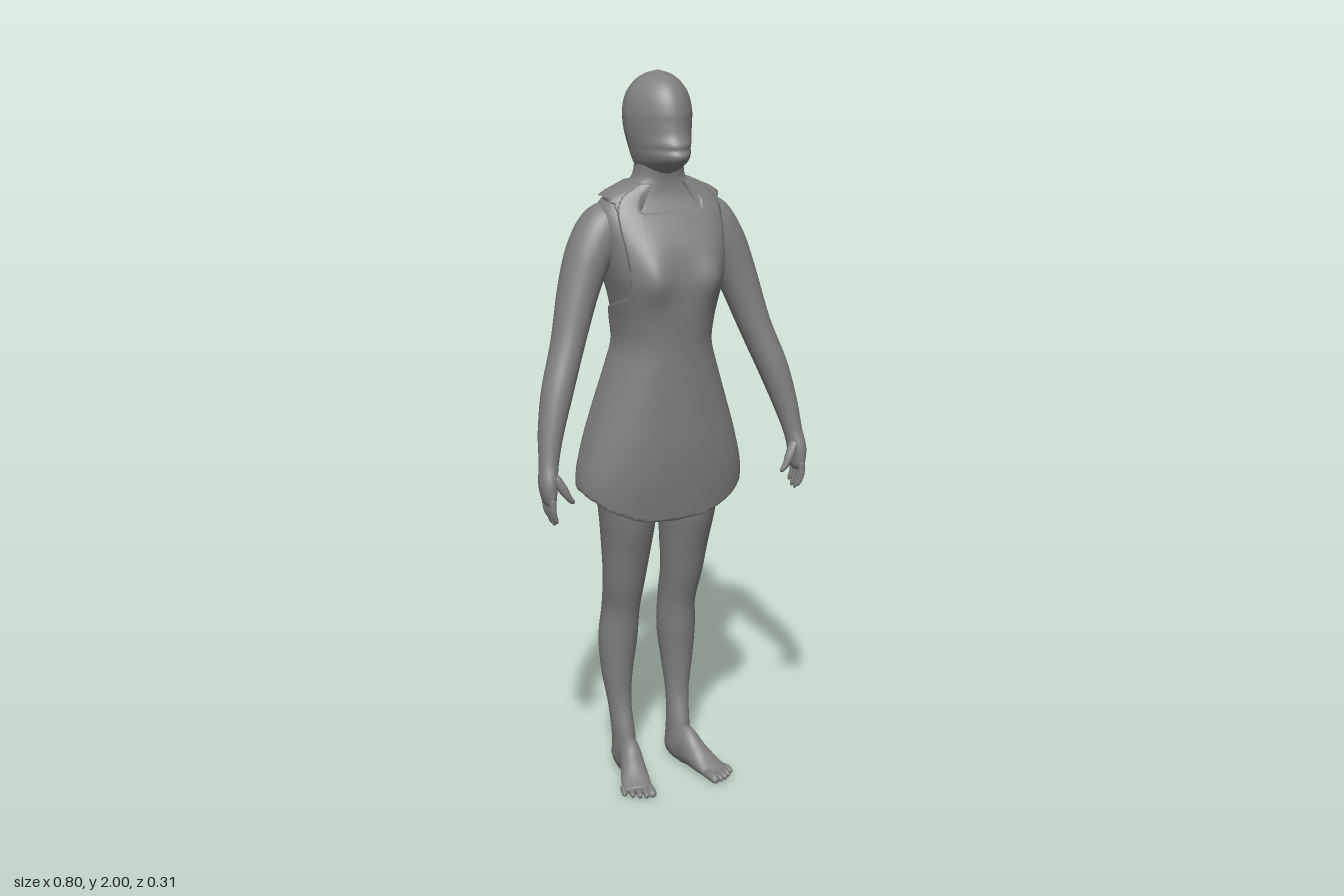
import * as THREE from 'three';
import { mergeVertices } from 'three/addons/utils/BufferGeometryUtils.js';

const material = new THREE.MeshStandardMaterial({ color: 0x808080 });
const clothMaterial = new THREE.MeshStandardMaterial({ color: 0x808080, side: THREE.DoubleSide });

// Smooth interpolation of rows whose first entry is the ascending key
function sample(rows, k) {
  let i = 0;
  while (i < rows.length - 2 && k > rows[i + 1][0]) i++;
  const a = rows[i], b = rows[i + 1], p = rows[i - 1] || a, n = rows[i + 2] || b;
  const h = b[0] - a[0], t = Math.min(1, Math.max(0, (k - a[0]) / h)), t2 = t * t, t3 = t2 * t;
  return a.map((v, c) => {
    const ma = (b[c] - p[c]) / (b[0] - p[0]), mb = (n[c] - v) / (n[0] - a[0]);
    return v * (2 * t3 - 3 * t2 + 1) + b[c] * (3 * t2 - 2 * t3) + h * (ma * (t3 - 2 * t2 + t) + mb * (t3 - t2));
  });
}

// Smooth skin over a grid of points
function skin(name, nu, nv, point, mat = material) {
  const pos = [], index = [];
  for (let j = 0; j <= nv; j++) for (let i = 0; i <= nu; i++) pos.push(...point(i, j));
  for (let j = 0; j < nv; j++) for (let i = 0; i < nu; i++) {
    const a = j * (nu + 1) + i, d = a + nu + 1;
    index.push(a, a + 1, d + 1, a, d + 1, d);
  }
  let g = new THREE.BufferGeometry();
  g.setAttribute('position', new THREE.Float32BufferAttribute(pos, 3));
  g.setIndex(index);
  g = mergeVertices(g, 1e-5);
  g.computeVertexNormals();
  const mesh = new THREE.Mesh(g, mat);
  mesh.name = name;
  return mesh;
}

// Rounded limb through points [x, y, z, radius across, radius along ref]
function limb(name, pts, { side = 1, ref = [0, 0, 1], nu = 28, nv = 48, round = 0.08 } = {}) {
  const rows = pts.map(([x, ...rest], i) => [i, x * side, ...rest]);
  const last = rows.length - 1, r = new THREE.Vector3(...ref);
  const rings = [];
  for (let j = 0; j <= nv; j++) {
    const t = (1 - Math.cos(Math.PI * j / nv)) / 2;
    const s = sample(rows, t * last), p = sample(rows, t * last - 0.05), q = sample(rows, t * last + 0.05);
    const dir = new THREE.Vector3(q[1] - p[1], q[2] - p[2], q[3] - p[3]).normalize();
    const u = dir.clone().cross(r).normalize(), v = dir.clone().cross(u);
    const e = Math.max(0, 1 - Math.min(t, 1 - t) / round);
    rings.push({ c: new THREE.Vector3(s[1], s[2], s[3]), u, v, a: s[4], b: s[5], f: Math.sqrt(1 - e * e) });
  }
  return skin(name, nu, nv, (i, j) => {
    const { c, u, v, a, b, f } = rings[j], w = 2 * Math.PI * (i % nu) / nu;
    const p = c.clone().addScaledVector(u, Math.cos(w) * a * f).addScaledVector(v, Math.sin(w) * b * f);
    return [p.x, Math.max(0, p.y), p.z];
  });
}

const power = (v, p) => Math.sign(v) * Math.abs(v) ** p;
const bump = (v, w) => Math.exp(-((v / w) ** 2));
const mid = -0.02;

// Point on the head; angle 0 is the front, the face narrows forward
function headPoint(angle, y) {
  const [, w, f, b] = sample(headRows, y), c = Math.cos(angle);
  return [w * Math.sin(angle) * (1 - 0.22 * Math.max(0, c)), y, mid + (c > 0 ? f - mid : mid - b) * c];
}

// Point on the body or the cloth over it, rows [y, half width, front z, back z]
function bodyPoint(rows, angle, y, grow = 0) {
  const [, w, f, b] = sample(rows, y), c = Math.cos(angle);
  const p = 0.85 - 0.13 * bump(y - 1.48, 0.12);
  const x = (w + grow) * power(Math.sin(angle), p);
  let z = mid + (c > 0 ? f + grow - mid : mid - b + grow) * power(c, p);
  const front = Math.max(0, c) ** 0.5, back = Math.max(0, -c) ** 0.5;
  z += front * 0.022 * bump(Math.abs(x) - 0.085, 0.045) * bump(y - 1.47, 0.065);
  z += back * (0.03 * bump(x, 0.028) * bump(y - 0.97, 0.09) + 0.012 * bump(x, 0.04) * bump(y - 1.5, 0.14));
  return [x, y, z];
}

const torsoRows = [
  [0.86, 0.003, -0.015, -0.025], [0.88, 0.07, 0.02, -0.07], [0.92, 0.13, 0.05, -0.1], [0.97, 0.17, 0.075, -0.135],
  [1.04, 0.186, 0.09, -0.155], [1.1, 0.181, 0.09, -0.146], [1.2, 0.15, 0.085, -0.106], [1.29, 0.127, 0.088, -0.077],
  [1.4, 0.14, 0.115, -0.09], [1.47, 0.155, 0.13, -0.112], [1.55, 0.168, 0.117, -0.121], [1.62, 0.178, 0.08, -0.12],
  [1.66, 0.166, 0.052, -0.108], [1.685, 0.138, 0.042, -0.094], [1.702, 0.1, 0.04, -0.083], [1.72, 0.075, 0.04, -0.071],
  [1.75, 0.066, 0.045, -0.062], [1.79, 0.066, 0.045, -0.064], [1.83, 0.065, 0.04, -0.06]];
const headRows = [
  [1.73, 0.003, 0.02, -0.03], [1.742, 0.05, 0.06, -0.045], [1.76, 0.067, 0.095, -0.062], [1.777, 0.074, 0.118, -0.074],
  [1.792, 0.078, 0.123, -0.083], [1.804, 0.081, 0.115, -0.09], [1.817, 0.084, 0.116, -0.097], [1.84, 0.089, 0.103, -0.106],
  [1.87, 0.093, 0.097, -0.114], [1.9, 0.093, 0.094, -0.117], [1.94, 0.083, 0.08, -0.108], [1.97, 0.062, 0.056, -0.087],
  [1.99, 0.034, 0.022, -0.057], [2, 0.001, -0.019, -0.021]];
const apronRows = [
  [0.77, 0.235, 0.086, -0.1], [0.9, 0.243, 0.107, -0.13], [1, 0.222, 0.117, -0.15], [1.1, 0.192, 0.121, -0.14],
  [1.2, 0.16, 0.125, -0.114], [1.28, 0.137, 0.129, -0.086], [1.35, 0.141, 0.136, -0.088], [1.4, 0.15, 0.14, -0.099],
  [1.47, 0.164, 0.142, -0.12], [1.55, 0.177, 0.127, -0.129], [1.62, 0.187, 0.09, -0.128], [1.66, 0.181, 0.064, -0.117],
  [1.685, 0.157, 0.053, -0.105], [1.702, 0.12, 0.05, -0.094], [1.72, 0.086, 0.049, -0.081], [1.75, 0.075, 0.05, -0.07]];

function upright(name, y0, y1, point) {
  const nu = 64, nv = 90;
  return skin(name, nu, nv, (i, j) =>
    point(2 * Math.PI * (i % nu) / nu, y0 + (y1 - y0) * (1 - Math.cos(Math.PI * j / nv)) / 2));
}

// Cloth panel, keys [degrees from the front, top y, bottom y], mirrored, with turned-in edges
function cloth(name, keys) {
  const half = [], step = 0.01;
  keys.slice(1).forEach((b, k) => {
    const a = keys[k], n = Math.ceil((b[0] - a[0]) / 3);
    for (let i = 0; i < n; i++) half.push(a.map((v, c) => v + (b[c] - v) * i / n));
  });
  half.push(keys[keys.length - 1]);
  const mirrored = half.map(([d, t, b]) => [-d, t, b]).reverse();
  const cols = keys[0][0] === 0 ? [...mirrored.slice(0, -1), ...half]
    : [...half, ...mirrored.slice(1).map(([d, t, b]) => [d + 360, t, b])];
  const low = Math.min(...keys.map(k => k[2])) - 2 * step, high = Math.max(...keys.map(k => k[1])) + 2 * step;
  return skin(name, cols.length - 1, Math.ceil((high - low) / step), (i, j) => {
    const [deg, top, bottom] = cols[i], level = low + j * step;
    const inside = level < top + step && level > bottom - step;
    return bodyPoint(apronRows, deg * Math.PI / 180, Math.min(top, Math.max(bottom, level)), inside ? 0 : -0.014);
  }, clothMaterial);
}

function buildArm(side) {
  const g = new THREE.Group();
  g.name = side > 0 ? 'leftArm' : 'rightArm';
  g.add(limb('arm', [
    [0.09, 1.615, -0.035, 0.035, 0.05], [0.15, 1.602, -0.033, 0.06, 0.064], [0.195, 1.535, -0.028, 0.063, 0.068],
    [0.235, 1.44, -0.016, 0.055, 0.061], [0.28, 1.3, 0.01, 0.045, 0.05], [0.324, 1.18, 0.038, 0.042, 0.046],
    [0.353, 1.08, 0.06, 0.034, 0.038], [0.369, 1, 0.08, 0.026, 0.029], [0.377, 0.945, 0.092, 0.024, 0.034],
    [0.375, 0.885, 0.096, 0.013, 0.032]], { side, round: 0.04, nv: 64 }));
  [0.071, 0.087, 0.104, 0.12].forEach((z, i) => {
    const tip = [0.85, 0.837, 0.835, 0.845][i];
    g.add(limb('finger', [[0.376, 0.92, z, 0.01, 0.009], [0.376, 0.88, z + 0.002, 0.009, 0.008], [0.364, tip, z, 0.006, 0.006]],
      { side, nu: 10, nv: 14, round: 0.15 }));
  });
  g.add(limb('thumb', [[0.367, 0.975, 0.1, 0.014, 0.016], [0.343, 0.935, 0.112, 0.013, 0.013], [0.328, 0.91, 0.116, 0.009, 0.009],
    [0.313, 0.893, 0.115, 0.006, 0.006]], { side, nu: 12, nv: 16, round: 0.12 }));
  return g;
}

function buildLeg(side) {
  const g = new THREE.Group();
  g.name = side > 0 ? 'leftLeg' : 'rightLeg';
  g.add(limb('leg', [
    [0.09, 1.12, -0.035, 0.06, 0.07], [0.094, 1.02, -0.035, 0.088, 0.114], [0.095, 0.9, -0.025, 0.086, 0.107],
    [0.092, 0.8, -0.025, 0.078, 0.095], [0.09, 0.7, -0.038, 0.069, 0.078], [0.09, 0.6, -0.052, 0.06, 0.063],
    [0.088, 0.5, -0.08, 0.053, 0.06], [0.092, 0.4, -0.092, 0.055, 0.058], [0.095, 0.3, -0.093, 0.045, 0.048],
    [0.092, 0.2, -0.083, 0.033, 0.037], [0.087, 0.1, -0.068, 0.031, 0.046], [0.085, 0.02, -0.073, 0.033, 0.047]],
  { side, nv: 72, round: 0.025 }));
  g.add(limb('foot', [
    [0.084, 0.03, -0.112, 0.022, 0.03], [0.086, 0.04, -0.06, 0.033, 0.045], [0.09, 0.052, -0.025, 0.032, 0.062],
    [0.1, 0.04, 0.02, 0.035, 0.044], [0.112, 0.025, 0.06, 0.04, 0.03], [0.122, 0.017, 0.095, 0.041, 0.017],
    [0.127, 0.013, 0.117, 0.036, 0.012]], { side, ref: [0, 1, 0], round: 0.05 }));
  // Toes, from the big toe outward
  for (let i = 0; i < 5; i++) {
    const x = 0.094 + i * 0.0165, r = i ? 0.0085 : 0.013, z = 0.156 - i * i * 0.0025;
    g.add(limb('toe', [[x, 0.015, 0.08, r, r], [x + 0.004, 0.015, z - 0.02, r, r], [x + 0.009, 0.008, z, r * 0.75, 0.007]],
      { side, ref: [0, 1, 0], nu: 12, nv: 14, round: 0.15 }));
  }
  return g;
}

export function createModel() {
  const model = new THREE.Group();
  model.name = 'figureInApron';
  model.add(upright('torso', 0.86, 1.83, (a, y) => bodyPoint(torsoRows, a, y)), upright('head', 1.73, 2, headPoint));
  for (const side of [1, -1]) model.add(buildArm(side), buildLeg(side));
  // Bib, skirt and waist tie in one panel, then the strap behind the neck
  model.add(cloth('apron', [
    [0, 1.64, 0.79], [20, 1.64, 0.797], [25, 1.643, 0.803], [26, 1.712, 0.804], [50, 1.712, 0.838], [50.5, 1.49, 0.839],
    [54, 1.45, 0.845], [62, 1.42, 0.858], [80, 1.4, 0.878], [90, 1.385, 0.883], [97, 1.36, 0.892], [101, 1.345, 0.93],
    [101.5, 1.34, 1.22], [108, 1.325, 1.243], [125, 1.305, 1.25], [180, 1.295, 1.25]]));
  model.add(cloth('neckStrap', [[49, 1.712, 1.64], [56, 1.712, 1.665], [90, 1.715, 1.68], [130, 1.712, 1.675], [180, 1.71, 1.663]]));
  return model;
}
